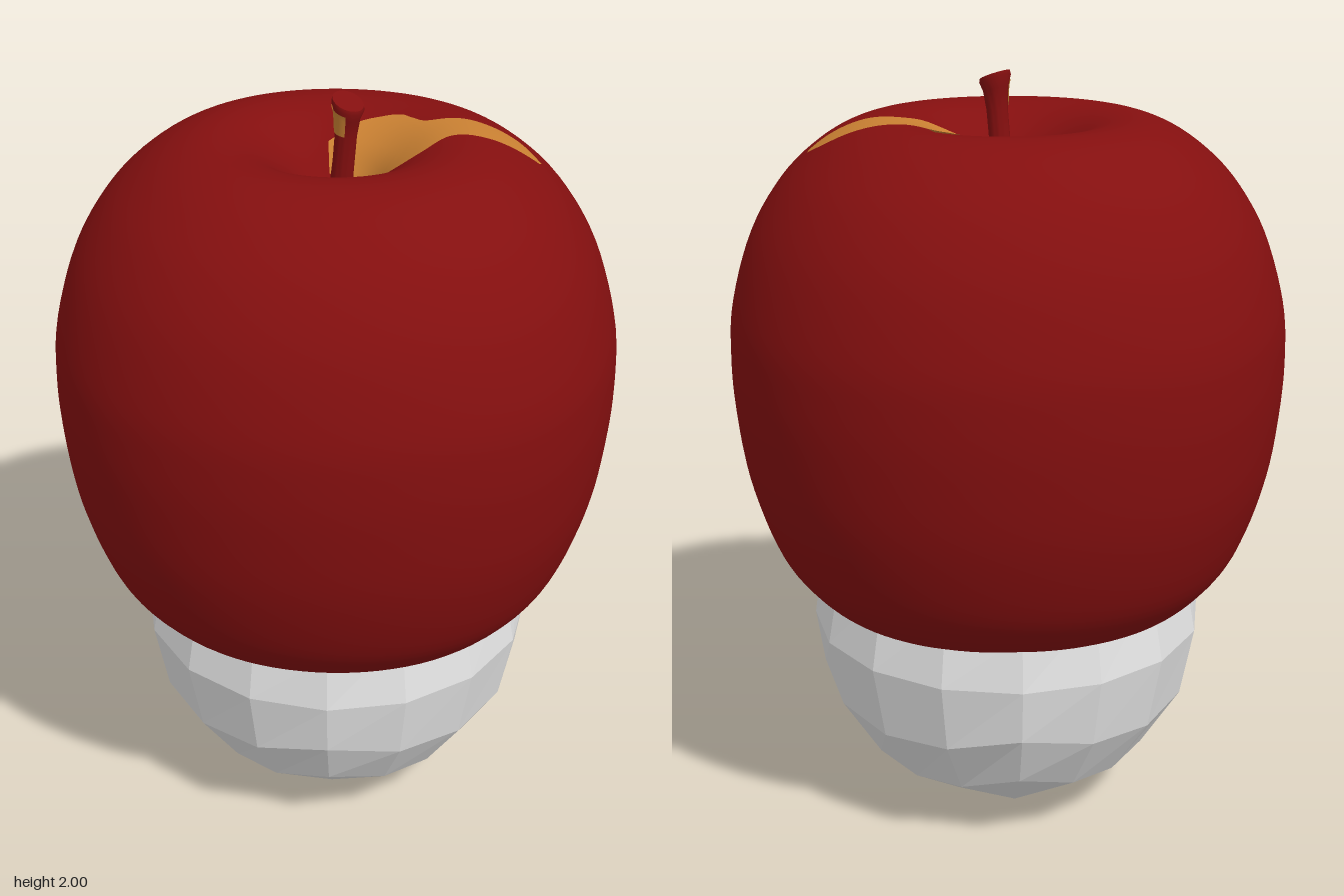
import * as THREE from 'three';
import { mergeVertices, toCreasedNormals } from 'three/addons/utils/BufferGeometryUtils.js';

const v2 = (p) => new THREE.Vector2(p[0], p[1]);

// Move every vertex of a geometry by a rule
function warp(geometry, rule) {
  const pos = geometry.attributes.position;
  const p = new THREE.Vector3();
  for (let i = 0; i < pos.count; i++) {
    p.fromBufferAttribute(pos, i);
    rule(p);
    pos.setXYZ(i, p.x, p.y, p.z);
  }
  return geometry;
}

// Drop seams so that normals run smoothly all round
function smooth(geometry) {
  geometry.deleteAttribute('normal');
  geometry.deleteAttribute('uv');
  const merged = mergeVertices(geometry, 1e-5);
  merged.computeVertexNormals();
  return merged;
}

// Apple half-section, from the underside hollow to the stem hollow
const profile = new THREE.SplineCurve([
  [0, 0.75], [0.2, 0.67], [0.38, 0.6], [0.5, 0.625], [0.59, 0.705], [0.65, 0.805],
  [0.705, 0.98], [0.73, 1.16], [0.735, 1.3], [0.723, 1.43], [0.67, 1.6], [0.59, 1.73],
  [0.5, 1.815], [0.41, 1.866], [0.32, 1.885], [0.23, 1.868], [0.14, 1.81],
  [0.07, 1.73], [0, 1.69],
].map(v2)).getPoints(90);

// Gentle four-sided fullness of the fruit
const lobe = (x, z) => 0.99 + 0.01 * Math.cos(4 * Math.atan2(z, x));

// Height of the apple's upper skin at a point seen from above
function skinHeight(x, z) {
  const r = Math.hypot(x, z) / lobe(x, z);
  for (let i = profile.length - 1; i > 0; i--) {
    const a = profile[i], b = profile[i - 1];
    if (r <= b.x) return a.y + (b.y - a.y) * (r - a.x) / (b.x - a.x);
  }
  return 1.3;
}

// Lean of the stem and slant of its cut top
function bendStem(p) {
  const t = (p.y - 1.66) / 0.325;
  p.y -= 0.4 * p.x * Math.max(0, t) ** 3;
  p.x += 0.06 * t - 0.018 * t * t;
}

export function createModel() {
  const red = new THREE.MeshStandardMaterial({ color: 0x840f0f });
  red.name = 'apple red';
  const gold = new THREE.MeshStandardMaterial({ color: 0xc98032, side: THREE.DoubleSide });
  gold.name = 'golden brown';
  const grey = new THREE.MeshStandardMaterial({ color: 0xe2e2e2 });
  grey.name = 'pale grey';

  const model = new THREE.Group();
  const add = (name, geometry, material) => {
    const mesh = new THREE.Mesh(geometry, material);
    mesh.name = name;
    model.add(mesh);
  };

  // Faceted ball: a divided cube spread evenly over a sphere
  const ball = warp(new THREE.BoxGeometry(2, 2, 2, 4, 4, 4), (p) => {
    p.set(...p.toArray().map((c) => Math.tan(c * Math.PI / 4))).setLength(0.53);
    p.y += 0.53;
  }).toNonIndexed();
  ball.computeVertexNormals();
  add('facetedBase', ball, grey);

  // Apple body
  add('appleBody', smooth(warp(new THREE.LatheGeometry(profile, 96), (p) => {
    const k = lobe(p.x, p.z);
    p.x *= k;
    p.z *= k;
  })), red);

  // Stem, flared at the tip
  const stemProfile = [
    [0.034, 1.66], [0.029, 1.74], [0.027, 1.83], [0.027, 1.9],
    [0.032, 1.95], [0.04, 1.975], [0.038, 1.985], [0, 1.985],
  ].map(v2);
  add('stem', toCreasedNormals(
    warp(new THREE.LatheGeometry(stemProfile, 24), bendStem), 0.9), red);

  // Golden mark on the front of the stem
  const markProfile = [[0.0295, 1.905], [0.0345, 1.95], [0.039, 1.965]].map(v2);
  const mark = warp(new THREE.LatheGeometry(markProfile, 10, -1.1, 1.8), bendStem);
  mark.computeVertexNormals();
  add('stemMark', mark, gold);

  // Russet patch draped over the skin, spanned between two edge curves (x, z)
  const farEdge = new THREE.SplineCurve([
    [0.33, -0.385], [0.25, -0.385], [0.14, -0.32], [0.07, -0.25], [0.02, -0.243],
    [-0.02, -0.24], [-0.06, -0.21], [-0.1, -0.16], [-0.118, -0.08],
  ].map(v2));
  const nearEdge = new THREE.SplineCurve([
    [0.335, -0.37], [0.31, -0.33], [0.25, -0.265], [0.19, -0.2], [0.18, -0.1],
    [0.12, 0.015], [0.05, -0.055], [-0.02, -0.068], [-0.075, -0.045],
  ].map(v2));
  const patch = warp(new THREE.PlaneGeometry(1, 1, 64, 20), (p) => {
    const t = THREE.MathUtils.clamp(p.x + 0.5, 0, 1);
    const q = farEdge.getPoint(t).lerp(nearEdge.getPoint(t), p.y + 0.5);
    p.set(q.x, skinHeight(q.x, q.y) + 0.005, q.y);
  });
  // Keep the upper side facing outwards
  const index = patch.index.array;
  const [a, b, c] = [0, 1, 2].map((k) =>
    new THREE.Vector3().fromBufferAttribute(patch.attributes.position, index[600 + k]));
  if (b.sub(a).cross(c.sub(a)).y < 0) index.reverse();
  patch.computeVertexNormals();
  add('russetPatch', patch, gold);

  return model;
}
